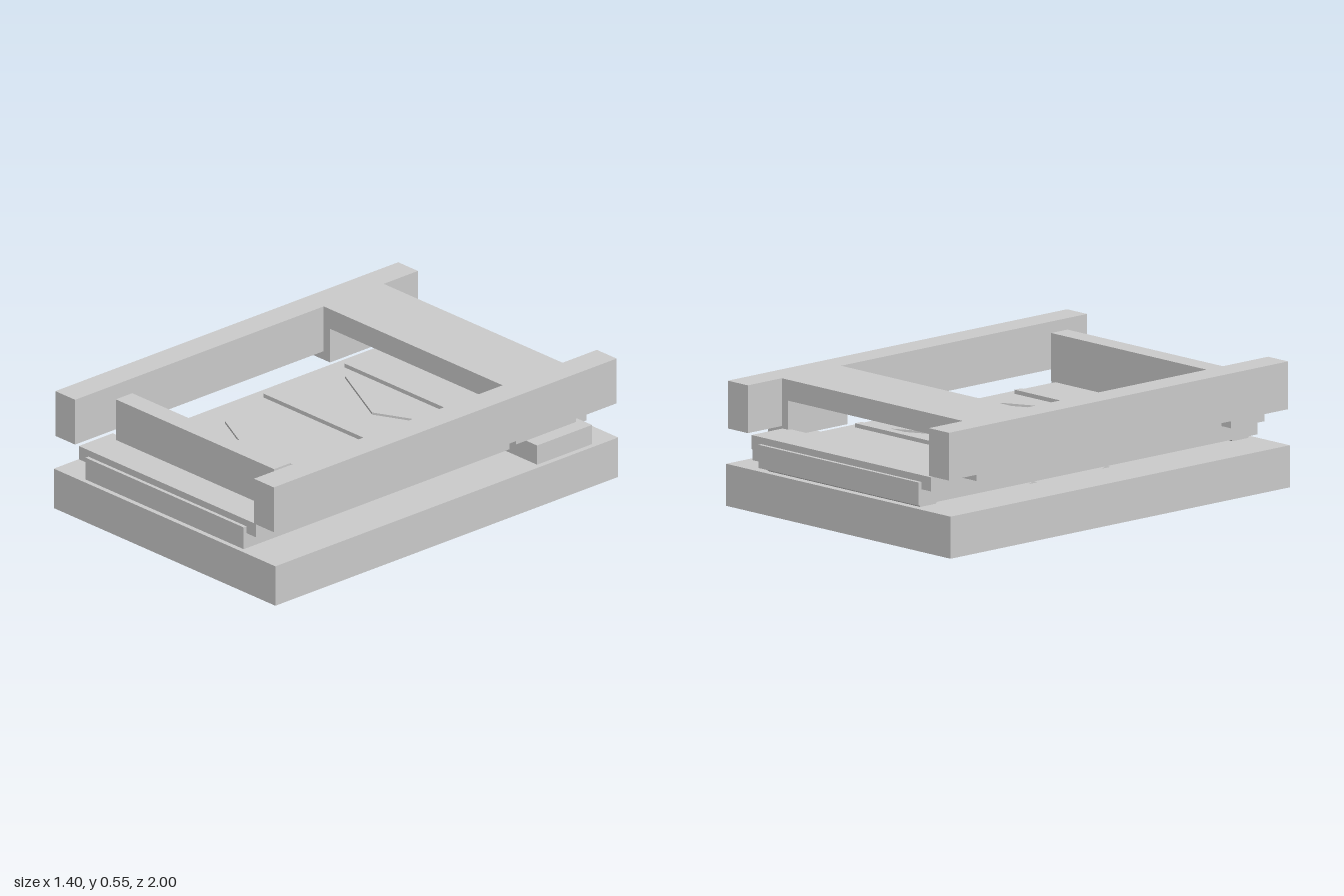
import * as THREE from 'three';

export function createModel() {
  const group = new THREE.Group();
  const material = new THREE.MeshStandardMaterial({ color: 0xcccccc, flatShading: true });

  const add = (name, geometry) => {
    const mesh = new THREE.Mesh(geometry, material);
    mesh.name = name;
    group.add(mesh);
    return mesh;
  };
  // Box given by its extents on each axis
  const box = (name, [x0, x1], [y0, y1], [z0, z1]) => {
    const mesh = add(name, new THREE.BoxGeometry(x1 - x0, y1 - y0, z1 - z0));
    mesh.position.set((x0 + x1) / 2, (y0 + y1) / 2, (z0 + z1) / 2);
    return mesh;
  };
  const prism = (points, depth) => new THREE.ExtrudeGeometry(
    new THREE.Shape(points.map(([a, b]) => new THREE.Vector2(a, b))),
    { depth, bevelEnabled: false });
  // Profile in (z, y), swept across x
  const strip = (name, points, halfWidth) => {
    const mesh = add(name, prism(points.map(([z, y]) => [-z, y]), halfWidth * 2));
    mesh.rotation.y = Math.PI / 2;
    mesh.position.x = -halfWidth;
  };

  // Base and sliding tray
  box('base', [-0.7, 0.7], [0, 0.185], [-1, 1]);
  box('tray', [-0.5, 0.5], [0.2, 0.302], [-1, 1]);

  // Cross plates at both ends of the tray
  box('frontPlate', [-0.56, 0.56], [0.27, 0.332], [0.785, 0.983]);
  box('backPlate', [-0.56, 0.56], [0.27, 0.332], [-0.983, -0.785]);

  // Runners and small ridges between base and tray
  for (const s of [-1, 1]) {
    strip('runner', [[s * 0.92 - 0.045, 0.184], [s * 0.92 + 0.045, 0.184],
      [s * 0.92 + 0.058, 0.202], [s * 0.92 - 0.058, 0.202]], 0.475);
  }
  for (const z of [0.13, -0.3]) {
    strip('ridge', [[z - 0.025, 0.184], [z + 0.025, 0.184], [z, 0.196]], 0.475);
  }

  // Block on the left side of the tray
  box('sideBlock', [0.475, 0.675], [0.184, 0.275], [-0.87, -0.55]);

  // Upper frame: rails, bridge and the guides beneath it
  box('bridge', [-0.565, 0.565], [0.46, 0.552], [-0.8, -0.45]);
  for (const [side, s] of [['left', 1], ['right', -1]]) {
    const span = (a, b) => (s > 0 ? [a, b] : [-b, -a]);
    box(side + 'Rail', span(0.565, 0.69), [0.342, 0.552], [-1, 1]);
    box(side + 'GuideLeg', span(0.525, 0.565), [0.302, 0.46], [-0.8, -0.45]);
    box(side + 'GuideFoot', span(0.565, 0.65), [0.302, 0.342], [-0.8, -0.45]);
  }

  // Upright handle at the front
  box('frontHandle', [-0.5, 0.5], [0.31, 0.522], [0.727, 0.823]);

  // Raised bars across the tray
  for (const z of [-0.47, 0, 0.47]) {
    box('crossBar', [-0.435, 0.435], [0.309, 0.327], [z - 0.02, z + 0.02]);
  }

  // V-shaped marks, pointing to the front
  for (const z of [-0.21, 0.49]) {
    const mark = add('chevron', prism([[0, 0], [0.36, 0.175], [0.342, 0.212], [0, 0.042],
      [-0.342, 0.212], [-0.36, 0.175]], 0.012));
    mark.rotation.x = -Math.PI / 2;
    mark.position.set(0, 0.3, z);
  }

  return group;
}
